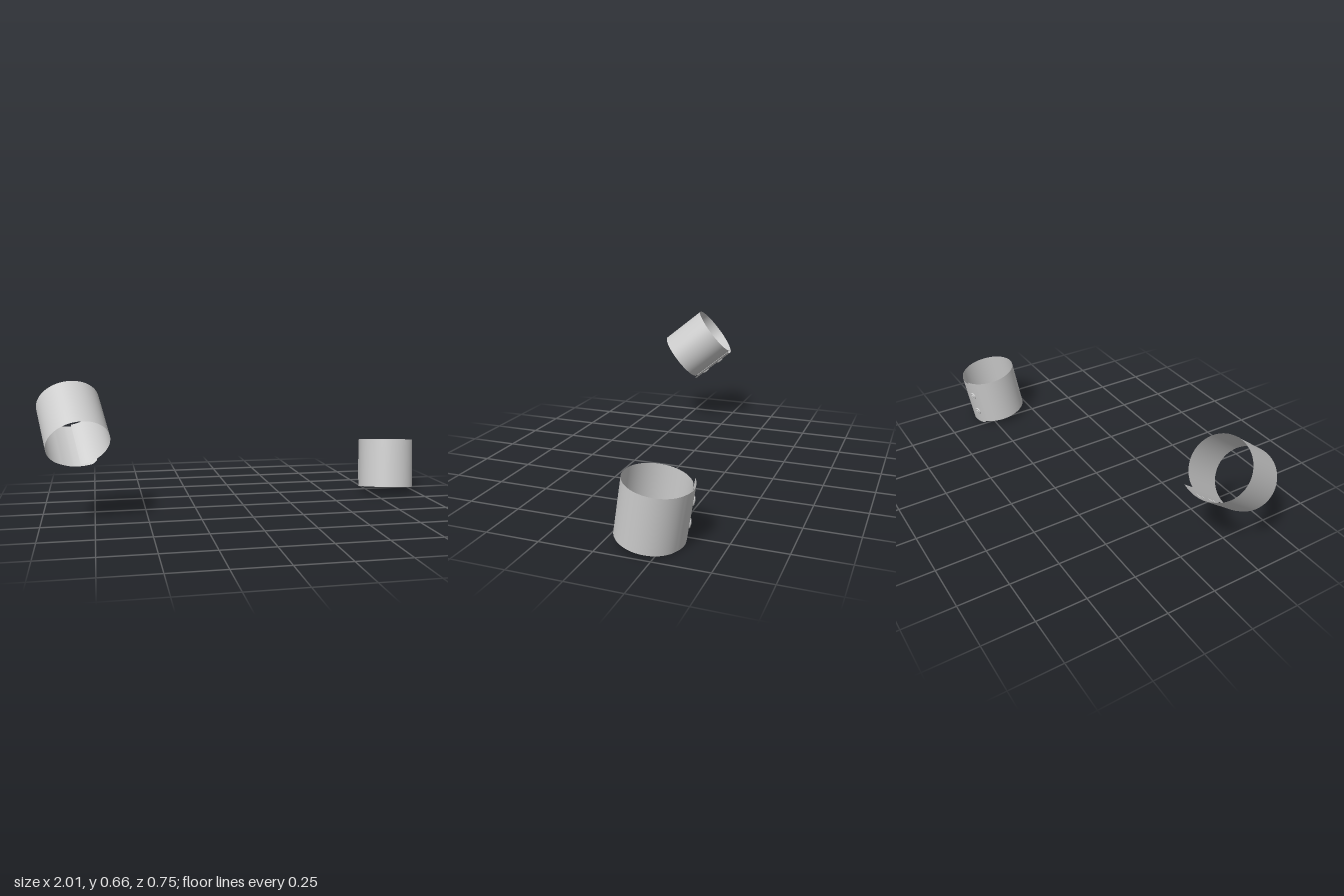
import * as THREE from 'three';

const RADIUS = 0.147, HEIGHT = 0.26;
const RAD = Math.PI / 180;
const material = new THREE.MeshStandardMaterial({ color: 0xcccccc, side: THREE.DoubleSide });

// One overlapping wrap-around cuff. Angles run from the back (-z);
// side = 1 wraps towards -x, side = -1 is the mirrored cuff.
function makeCuff(name, { centre, axis, side, start, lift }) {
  const cuff = new THREE.Group();
  cuff.name = name;
  const sweep = 389, end = start + sweep, liftFrom = end - 62;

  const radiusAt = (deg) => {
    const t = Math.max(0, (deg - liftFrom) / (end - liftFrom));
    return RADIUS + 0.004 * Math.min(1, t * 3) + lift * t * t;
  };
  const pointAt = (deg, y, out = 0) => {
    const r = radiusAt(deg) + out;
    return new THREE.Vector3(-side * r * Math.sin(deg * RAD), y, -r * Math.cos(deg * RAD));
  };

  // Band: a flat strip rolled up, with the lower corner of the free end rounded
  const band = new THREE.PlaneGeometry(1, 1, 180, 6);
  const pos = band.attributes.position;
  for (let i = 0; i < pos.count; i++) {
    const deg = start + sweep * (pos.getX(i) + 0.5);
    const v = pos.getY(i) + 0.5;
    const c = Math.max(0, (deg - (end - 13)) / 13);
    const bottom = -HEIGHT / 2 + 0.038 * (1 - Math.sqrt(Math.max(0, 1 - c * c)));
    const p = pointAt(deg, bottom + (HEIGHT / 2 - bottom) * v);
    pos.setXYZ(i, p.x, p.y, p.z);
  }
  band.computeVertexNormals();
  const bandMesh = new THREE.Mesh(band, material);
  bandMesh.name = 'band';
  cuff.add(bandMesh);

  // Two snap studs on the overlapping flap
  const profile = [[0.021, -0.002], [0.021, 0.002], [0.018, 0.005], [0.014, 0.004],
    [0.011, 0.002], [0.009, 0.005], [0.005, 0.007], [0, 0.0075]]
    .map(([x, y]) => new THREE.Vector2(x, y));
  const studGeometry = new THREE.LatheGeometry(profile, 24);
  const studAngle = end - 18;
  for (const a of [0.29, 0.7]) {
    const stud = new THREE.Mesh(studGeometry, material);
    stud.name = 'snapStud';
    const y = (a - 0.5) * HEIGHT;
    stud.position.copy(pointAt(studAngle, y));
    // Normal of the flap at the stud
    const along = pointAt(studAngle + 2, y).sub(pointAt(studAngle - 2, y)).normalize();
    const normal = new THREE.Vector3(-along.z, 0, along.x);
    if (normal.dot(stud.position) < 0) normal.negate();
    stud.quaternion.setFromUnitVectors(new THREE.Vector3(0, 1, 0), normal);
    cuff.add(stud);
  }

  // Tilt the cuff so that its own y follows the given axis
  const yAxis = new THREE.Vector3(...axis).normalize();
  const xAxis = new THREE.Vector3(1, 0, 0).addScaledVector(yAxis, -yAxis.x).normalize();
  const zAxis = new THREE.Vector3().crossVectors(xAxis, yAxis);
  cuff.quaternion.setFromRotationMatrix(new THREE.Matrix4().makeBasis(xAxis, yAxis, zAxis));
  cuff.position.set(...centre);
  return cuff;
}

export function createModel() {
  const model = new THREE.Group();
  model.name = 'pairOfCuffs';
  model.add(
    makeCuff('leftCuff', {
      centre: [0.847, 0.153, -0.2], axis: [0.012, 0.255, -0.044], side: 1, start: 14, lift: 0.016,
    }),
    makeCuff('rightCuff', {
      centre: [-0.838, 0.467, 0.18], axis: [-0.045, 0.163, -0.197], side: -1, start: 3, lift: 0.025,
    }),
  );
  return model;
}
